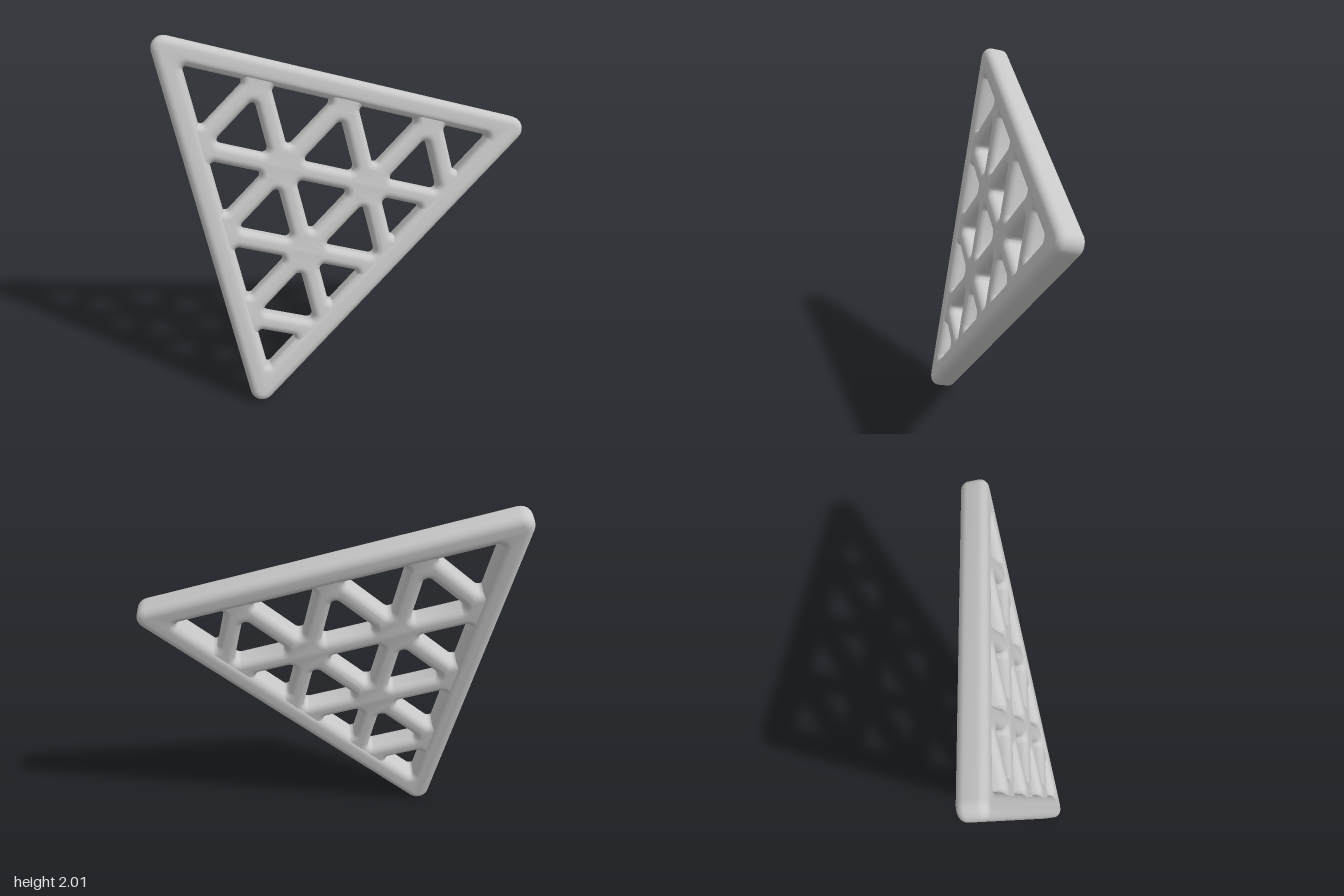
import * as THREE from 'three';
import { toCreasedNormals } from 'three/addons/utils/BufferGeometryUtils.js';

// Centre-line corners of the tilted triangular frame
const A = new THREE.Vector3(-0.93, 1.93, -0.11);
const B = new THREE.Vector3(0.93, 1.4, -0.25);
const C = new THREE.Vector3(-0.48, 0.07, 0.25);
const DIVISIONS = 4;
// Slight shift of the strut grid inside the frame, as barycentric offsets for A, C, B
const SHIFT = [-0.028, 0.025, 0.003];

// Outline of a counter-clockwise triangle, moved inwards by inset, with round corners
function roundedTriangle(corners, inset, radius) {
  const [a, b, c] = corners;
  const la = b.distanceTo(c), lb = c.distanceTo(a), lc = a.distanceTo(b);
  const p = la + lb + lc;
  const centre = new THREE.Vector2()
    .addScaledVector(a, la / p).addScaledVector(b, lb / p).addScaledVector(c, lc / p);
  const area = Math.abs(b.clone().sub(a).cross(c.clone().sub(a))) / 2;
  const inner = 2 * area / p;
  const scale = (inner - inset - radius) / inner;
  const pts = corners.map((q) => q.clone().sub(centre).multiplyScalar(scale).add(centre));
  const out = [];
  const steps = 7;
  pts.forEach((q, k) => {
    const before = q.clone().sub(pts[(k + 2) % 3]).angle();
    const after = pts[(k + 1) % 3].clone().sub(q).angle();
    const sweep = (after - before + 4 * Math.PI) % (2 * Math.PI);
    for (let s = 0; s <= steps; s++) {
      const t = before - Math.PI / 2 + sweep * s / steps;
      out.push(new THREE.Vector2(q.x + radius * Math.cos(t), q.y + radius * Math.sin(t)));
    }
  });
  return out;
}

// Slab with rounded rims, centred on its own plane
function roundedSlab(outline, holes, thickness, bevel) {
  const shape = new THREE.Shape(outline);
  holes.forEach((h) => shape.holes.push(new THREE.Path(h.slice().reverse())));
  const depth = thickness - 2 * bevel;
  const geometry = new THREE.ExtrudeGeometry(shape, {
    depth, bevelEnabled: true, bevelThickness: bevel, bevelSize: bevel,
    bevelOffset: -bevel, bevelSegments: 6, curveSegments: 1,
  });
  geometry.translate(0, 0, -depth / 2);
  return toCreasedNormals(geometry, 0.7);
}

export function createModel() {
  const group = new THREE.Group();
  group.name = 'triangularLattice';
  const grey = new THREE.MeshStandardMaterial({ color: 0xc8c8c8 });
  grey.name = 'grey';

  // Local plane of the panel
  const u = B.clone().sub(A).normalize();
  const n = C.clone().sub(A).cross(B.clone().sub(A)).normalize();
  const v = n.clone().cross(u);
  const toPlane = (q) => new THREE.Vector2(q.clone().sub(A).dot(u), q.clone().sub(A).dot(v));
  const place = new THREE.Matrix4().makeBasis(u, v, n).setPosition(A);
  const corners = [A, C, B].map(toPlane);

  const add = (name, geometry) => {
    const mesh = new THREE.Mesh(geometry.applyMatrix4(place), grey);
    mesh.name = name;
    group.add(mesh);
  };

  // Outer frame
  add('frame', roundedSlab(roundedTriangle(corners, -0.067, 0.067),
    [roundedTriangle(corners, 0.063, 0.015)], 0.15, 0.045));

  // Cell enclosed by one grid line of each direction; line 0 is the frame itself
  const point = (x, y, z) => new THREE.Vector2().addScaledVector(corners[0], x)
    .addScaledVector(corners[1], y).addScaledVector(corners[2], z);
  const cell = (...lines) => {
    const [p, q, r] = lines.map((k, axis) => (k === 0 ? 0.004 : k / DIVISIONS + SHIFT[axis]));
    return [point(1 - q - r, q, r), point(p, 1 - p - r, r), point(p, q, 1 - p - q)];
  };

  // Inner struts: a sheet pierced by every upright and inverted cell
  const holes = [];
  for (let i = 0; i < DIVISIONS; i++) {
    for (let j = 0; j < DIVISIONS; j++) {
      for (let k = 0; k < DIVISIONS; k++) {
        const upright = i + j + k === DIVISIONS - 1;
        const inverted = i + j + k === DIVISIONS + 1 && i * j * k > 0;
        if (upright || inverted) holes.push(roundedTriangle(cell(i, j, k), 0.05, 0.025));
      }
    }
  }
  add('struts', roundedSlab(roundedTriangle(corners, -0.052, 0.06), holes, 0.134, 0.04));

  return group;
}
